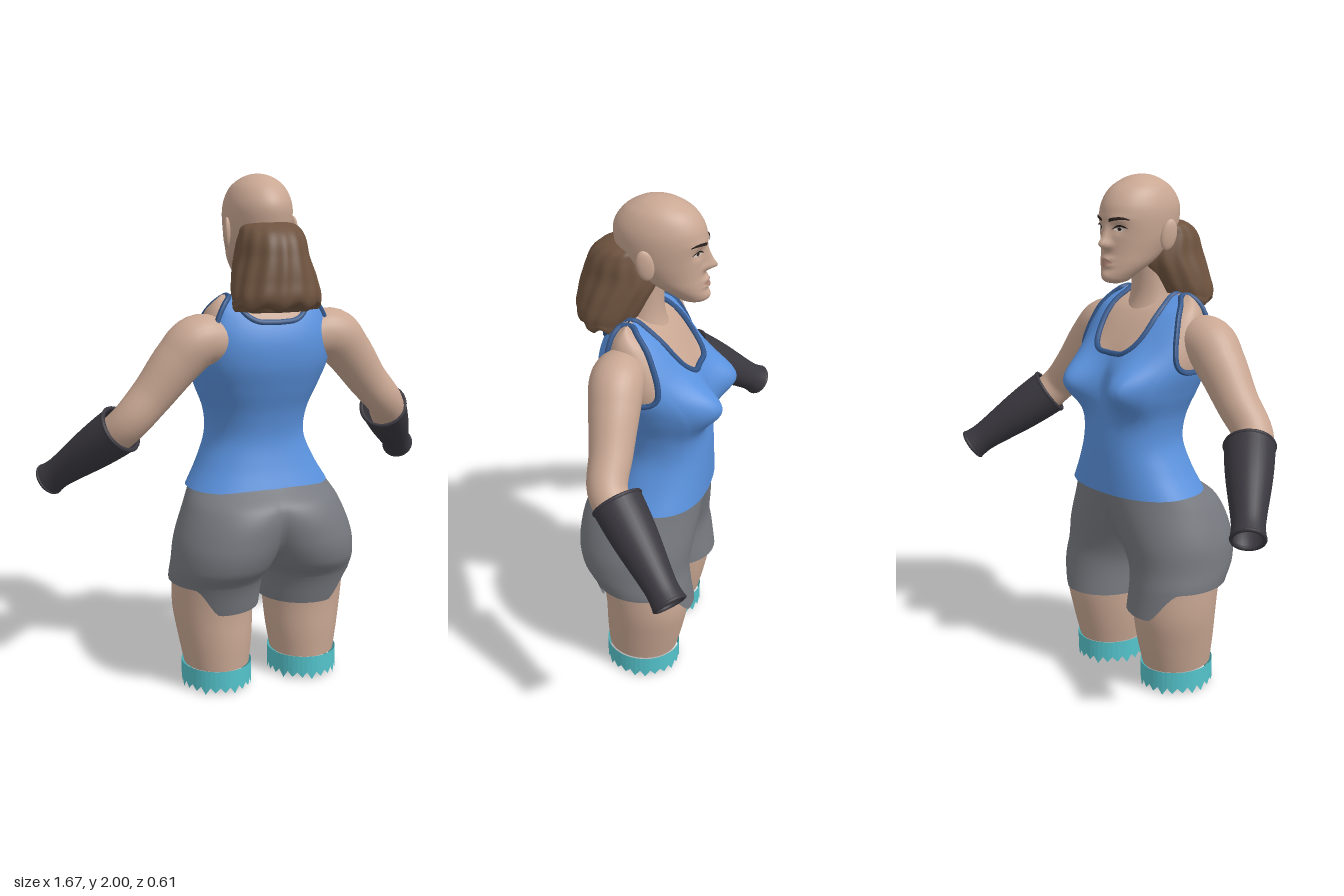
import * as THREE from 'three';

const mat = (name, color) => {
  const m = new THREE.MeshStandardMaterial({ color, side: THREE.DoubleSide });
  m.name = name;
  return m;
};
const V = (x, y, z) => new THREE.Vector3(x, y, z);
const TAU = Math.PI * 2;
const gauss = (d, r) => Math.exp(-((d / r) ** 2));
const spow = (v, p) => Math.sign(v) * Math.abs(v) ** p;

// Smooth lookup in rows of [key, a, b, ...], keys ascending
function sample(rows, k) {
  const n = rows.length;
  k = Math.min(Math.max(k, rows[0][0]), rows[n - 1][0]);
  let i = 0;
  while (i < n - 2 && k > rows[i + 1][0]) i++;
  const A = rows[i], B = rows[i + 1], h = B[0] - A[0], t = (k - A[0]) / h;
  const slope = (j, c) => {
    const p = rows[Math.max(j - 1, 0)], q = rows[Math.min(j + 1, n - 1)];
    return (q[c] - p[c]) / (q[0] - p[0]);
  };
  return A.slice(1).map((_, j) => {
    const c = j + 1, t2 = t * t, t3 = t2 * t;
    return A[c] * (2 * t3 - 3 * t2 + 1) + B[c] * (3 * t2 - 2 * t3)
      + h * (slope(i, c) * (t3 - 2 * t2 + t) + slope(i + 1, c) * (t3 - t2));
  });
}

// Surface from f(u, v); closed wraps around in u
function grid(nu, nv, f, closed = true) {
  const pos = [], idx = [], cols = closed ? nu : nu + 1;
  for (let j = 0; j <= nv; j++) for (let i = 0; i < cols; i++) pos.push(...f(i / nu, j / nv));
  for (let j = 0; j < nv; j++) for (let i = 0; i < nu; i++) {
    const a = j * cols + i, b = j * cols + (i + 1) % cols, c = a + cols, d = b + cols;
    idx.push(a, c, b, b, c, d);
  }
  const g = new THREE.BufferGeometry();
  g.setAttribute('position', new THREE.Float32BufferAttribute(pos, 3));
  g.setIndex(idx);
  g.computeVertexNormals();
  return g;
}

// Round limb through points of [x, y, z, radius]
function limb(pts, nv) {
  const curve = new THREE.CatmullRomCurve3(pts.map(p => V(p[0], p[1], p[2])));
  const radii = pts.map((p, i) => [i / (pts.length - 1), p[3]]);
  return grid(28, nv, (u, v) => {
    const c = curve.getPoint(v), T = curve.getTangent(v), N = V(0.7, 0.7, 0);
    N.addScaledVector(T, -N.dot(T)).normalize();
    const B = N.clone().cross(T), r = sample(radii, v)[0];
    return c.addScaledVector(N, r * Math.cos(u * TAU)).addScaledVector(B, r * Math.sin(u * TAU)).toArray();
  });
}

// Cross-section tables: [y, halfWidth, zFront, zBack]
const TORSO = [[0.8, 0.282, -0.215, 0.165], [0.9, 0.225, -0.215, 0.13], [1.0, 0.187, -0.213, 0.11],
  [1.1, 0.193, -0.205, 0.125], [1.2, 0.23, -0.195, 0.16], [1.3, 0.262, -0.175, 0.19], [1.4, 0.262, -0.125, 0.19],
  [1.5, 0.235, -0.045, 0.15], [1.54, 0.205, 0.02, 0.112], [1.56, 0.18, 0.06, 0.07]];
const HEAD = [[1.605, 0, -0.14, -0.13], [1.615, 0.035, -0.18, -0.09], [1.64, 0.06, -0.192, -0.05],
  [1.68, 0.088, -0.187, 0.02], [1.72, 0.104, -0.183, 0.08], [1.78, 0.12, -0.182, 0.135], [1.85, 0.126, -0.186, 0.155],
  [1.9, 0.12, -0.176, 0.15], [1.95, 0.098, -0.14, 0.115], [1.98, 0.065, -0.09, 0.07], [1.995, 0.03, -0.05, 0.03],
  [2.0, 0, -0.01, -0.01]];
const NECK = [[1.42, 0.11, -0.09, 0.15], [1.5, 0.095, -0.045, 0.13], [1.56, 0.08, -0.03, 0.112],
  [1.65, 0.072, -0.03, 0.1], [1.75, 0.07, -0.04, 0.1]];
const HAIR = [[1.505, 0, 0.15, 0.16], [1.508, 0.14, 0.08, 0.24], [1.54, 0.17, 0.045, 0.292], [1.62, 0.16, 0, 0.288],
  [1.7, 0.138, -0.03, 0.27], [1.78, 0.122, 0, 0.235], [1.82, 0.09, 0.02, 0.175], [1.838, 0, 0.08, 0.09]];
// Hip and thigh tables: [y, centreX, radiusX, centreZ, radiusZ]
const HIP = [[0.33, 0.185, 0.173, -0.02, 0.185], [0.45, 0.19, 0.185, 0.008, 0.195], [0.52, 0.175, 0.198, 0.036, 0.216],
  [0.62, 0.14, 0.22, 0.04, 0.23], [0.75, 0.07, 0.242, 0.02, 0.225], [0.82, 0.02, 0.256, -0.025, 0.19]];
const THIGH = [[0.095, 0.188, 0.128, 0.005, 0.142], [0.2, 0.19, 0.145, -0.005, 0.157],
  [0.33, 0.195, 0.16, -0.015, 0.168], [0.48, 0.19, 0.17, 0, 0.172]];

function ring(rows, th, y, p = 1, off = 0) {
  const [w, zf, zb] = sample(rows, y);
  return [(w + off) * spow(Math.cos(th), p), y, (zf + zb) / 2 + ((zb - zf) / 2 + off) * spow(Math.sin(th), p)];
}
function torso(th, y, off) {
  const p = ring(TORSO, th, y, 0.87, off);
  const front = Math.min(1, Math.max(0, -Math.sin(th) * 2));
  p[2] -= 0.108 * front * gauss(Math.abs(p[0]) - 0.14, 0.09) * gauss(y - 1.235, 0.09);
  return p;
}
const NOSE = [[1.73, 0], [1.742, 0.022], [1.757, 0.045], [1.78, 0.03], [1.81, 0.012], [1.84, 0]];
function faceRelief(x, y) {
  const ax = Math.abs(x);
  return sample(NOSE, y)[0] * gauss(x, 0.012 + 0.007 * gauss(y - 1.748, 0.015))
    + 0.013 * gauss(x, 0.03) * (gauss(y - 1.7, 0.009) + gauss(y - 1.679, 0.009))
    + 0.01 * gauss(x, 0.03) * gauss(y - 1.637, 0.02) + 0.005 * gauss(ax - 0.045, 0.04) * gauss(y - 1.85, 0.012)
    - 0.012 * gauss(ax - 0.047, 0.022) * gauss(y - 1.812, 0.018);
}
// Thin facial plate following the face between two height rules
const facePlate = (x0, x1, lo, hi, off = 0.003) => grid(16, 3, (u, v) => {
  const x = x0 + (x1 - x0) * u, y = lo(u) + (hi(u) - lo(u)) * v, [w, zf, zb] = sample(HEAD, y);
  const z = (zf + zb) / 2 - (zb - zf) / 2 * Math.sqrt(Math.max(0, 1 - (x / w) ** 2));
  return [x, y, z - faceRelief(x, y) - off];
}, false);

// Upper shirt edge by angle from the front centre, in degrees
const EDGE = [[0, 1.345], [12, 1.355], [22, 1.41], [32, 1.55], [36, 1.557], [50, 1.557], [54, 1.52], [60, 1.39], [70, 1.315],
  [90, 1.29], [110, 1.315], [120, 1.41], [127, 1.53], [130, 1.557], [144, 1.557], [150, 1.51], [164, 1.468], [180, 1.46]];
function shirtTop(th) {
  const a = Math.abs(((th * 180 / Math.PI + 90 + 540) % 360) - 180);
  return Math.min(1.557, sample(EDGE, a)[0]);
}

export function createModel() {
  const model = new THREE.Group();
  const skin = mat('skin', 0xc9a793), shirt = mat('shirt blue', 0x5a92de), trim = mat('trim blue', 0x34588c);
  const grey = mat('shorts grey', 0x76797f), dark = mat('glove charcoal', 0x3a383f), brown = mat('hair brown', 0x6e533f);
  const teal = mat('band teal', 0x54c3cb), ink = mat('brow dark', 0x2c221e), white = mat('eye white', 0xd8d2cc);
  const lip = mat('lip rose', 0xb58a7b);

  const add = (name, geo, m) => {
    const mesh = new THREE.Mesh(geo, m);
    mesh.name = name;
    model.add(mesh);
  };
  // Left part plus its mirror image, with corner order reversed
  const pair = (name, geo, m) => {
    add(name + 'Left', geo, m);
    const g = geo.clone().scale(-1, 1, 1);
    const order = g.index ? Array.from(g.index.array) : Array.from({ length: g.attributes.position.count }, (_, i) => i);
    for (let i = 0; i < order.length; i += 3) [order[i], order[i + 1]] = [order[i + 1], order[i]];
    g.setIndex(order);
    g.computeVertexNormals();
    add(name + 'Right', g, m);
  };

  // Head, face and neck
  add('head', grid(80, 72, (u, v) => {
    const th = u * TAU, p = ring(HEAD, th, 1.605 + 0.395 * (1 - Math.cos(Math.PI * v)) / 2);
    if (Math.sin(th) < 0) p[2] -= faceRelief(p[0], p[1]) * Math.min(1, -Math.sin(th) * 3);
    return p;
  }), skin);
  add('neck', grid(36, 14, (u, v) => ring(NECK, u * TAU, 1.42 + 0.33 * v)), skin);
  pair('ear', new THREE.SphereGeometry(1, 18, 14).scale(0.014, 0.058, 0.032).rotateX(0.2).rotateY(0.35)
    .translate(0.132, 1.785, 0.005), skin);
  const arch = u => Math.sin(Math.PI * u);
  pair('eyebrow', facePlate(0.018, 0.085, u => 1.836 + 0.016 * u ** 0.7 - 0.008 * u ** 4,
    u => 1.848 + 0.015 * u ** 0.7 - 0.016 * u ** 4, 0.004), ink);
  pair('eye', facePlate(0.028, 0.07, u => 1.81 - 0.006 * arch(u), u => 1.81 + 0.009 * arch(u)), white);
  pair('iris', facePlate(0.041, 0.056, u => 1.811 - 0.006 * arch(u), u => 1.811 + 0.008 * arch(u), 0.005), ink);
  pair('eyelash', facePlate(0.025, 0.078, u => 1.81 + 0.008 * arch(u) + 0.004 * u,
    u => 1.811 + 0.014 * arch(u) + 0.006 * u, 0.006), ink);
  add('lips', facePlate(-0.03, 0.03, u => 1.689 - 0.016 * arch(u), u => 1.689 + 0.016 * arch(u), 0.002), lip);

  // Gathered hair with gentle strands
  add('ponytail', grid(96, 32, (u, v) => {
    const th = u * TAU, p = ring(HAIR, th, 1.505 + 0.333 * v);
    const s = 1 + 0.022 * Math.cos(th * 14 + v * 3) * Math.sqrt(Math.max(0, Math.sin(Math.PI * v)));
    return [p[0] * s, p[1] + 0.012 * Math.cos(th * 9) * (1 - v) ** 6, 0.12 + (p[2] - 0.12) * s];
  }), brown);

  // Upper body, tank top and its edging
  add('chest', grid(72, 32, (u, v) => torso(u * TAU, 1.1 + 0.46 * v, 0)), skin);
  add('tankTop', grid(144, 44, (u, v) => {
    const th = u * TAU;
    return torso(th, 0.808 + (shirtTop(th) - 0.808) * v, 0.009);
  }), shirt);
  const edge = (from, to, n) => Array.from({ length: n + 1 }, (_, i) => {
    const th = (from + (to - from) * i / n - 90) * Math.PI / 180;
    return V(...torso(th, shirtTop(th), 0.009));
  });
  const piping = pts => new THREE.TubeGeometry(new THREE.CatmullRomCurve3(pts, true), 110, 0.011, 6, true);
  add('neckTrim', piping([...edge(-35, 35, 26), ...edge(145, 215, 26)]), trim);
  pair('armholeTrim', piping(edge(51, 129, 34)), trim);

  // Arms and long gloves
  pair('arm', limb([[0.18, 1.39, 0.07, 0.09], [0.28, 1.39, 0.07, 0.1], [0.35, 1.325, 0.06, 0.094], [0.45, 1.2, 0.045, 0.08],
    [0.54, 1.1, 0.033, 0.073], [0.595, 1.03, -0.03, 0.07], [0.67, 0.95, -0.13, 0.055], [0.735, 0.88, -0.21, 0.042],
    [0.74, 0.875, -0.216, 0.001]], 48), skin);
  const along = (t, r) => [0.56 + 0.21 * t, 1.067 - 0.222 * t, -0.008 - 0.24 * t, r];
  pair('glove', limb([along(0, 0.094), along(0.2, 0.09), along(0.4, 0.083), along(0.6, 0.073), along(0.8, 0.063),
    along(0.92, 0.06), along(1.03, 0.064)], 24), dark);
  const gloveRing = (t, r) => {
    const axis = V(0.21, -0.222, -0.24).normalize(), p = along(t, 0);
    return new THREE.TorusGeometry(r, 0.008, 8, 28)
      .applyQuaternion(new THREE.Quaternion().setFromUnitVectors(V(0, 0, 1), axis)).translate(p[0], p[1], p[2]);
  };
  pair('gloveCuff', gloveRing(0, 0.09), dark);
  pair('gloveRim', gloveRing(1.03, 0.058), dark);

  // Shorts: hips with a centre crease, then two sleeves with a raised outer hem
  add('shortsHips', grid(96, 32, (u, v) => {
    const y = 0.45 + 0.37 * v, [cx, rx, cz, rz] = sample(HIP, y);
    const limit = Math.acos(-Math.min(0.999, cx / rx)), s = u < 0.5 ? 1 : -1;
    const th = s > 0 ? -limit + 4 * u * limit : limit - 4 * (u - 0.5) * limit;
    return [s * Math.max(0, cx + rx * Math.cos(th)), y, cz + rz * Math.sin(th)];
  }), grey);
  pair('shortsLeg', grid(64, 8, (u, v) => {
    const c = Math.cos(u * TAU), k = Math.min(1, Math.max(0, (c - 0.25) / 0.5));
    const hem = 0.333 + 0.112 * k * k * (3 - 2 * k), y = hem + (0.455 - hem) * v;
    const [cx, rx, cz, rz] = sample(HIP, y);
    return [Math.max(0.008, cx + rx * c), y, cz + rz * Math.sin(u * TAU)];
  }), grey);

  // Thighs and jagged leg bands
  pair('thigh', grid(48, 12, (u, v) => {
    const y = 0.095 + 0.385 * v, [cx, rx, cz, rz] = sample(THIGH, y);
    return [cx + rx * Math.cos(u * TAU), y, cz + rz * Math.sin(u * TAU)];
  }), skin);
  const band = grid(44, 1, (u, v) => {
    const i = Math.round(u * 44), low = i % 2 ? 0.03 : (i % 3 ? 0.008 : 0);
    return [0.188 + 0.138 * Math.cos(u * TAU), v ? 0.098 : low, 0.005 + 0.15 * Math.sin(u * TAU)];
  }).toNonIndexed();
  band.computeVertexNormals();
  pair('legBand', band, teal);

  return model;
}
